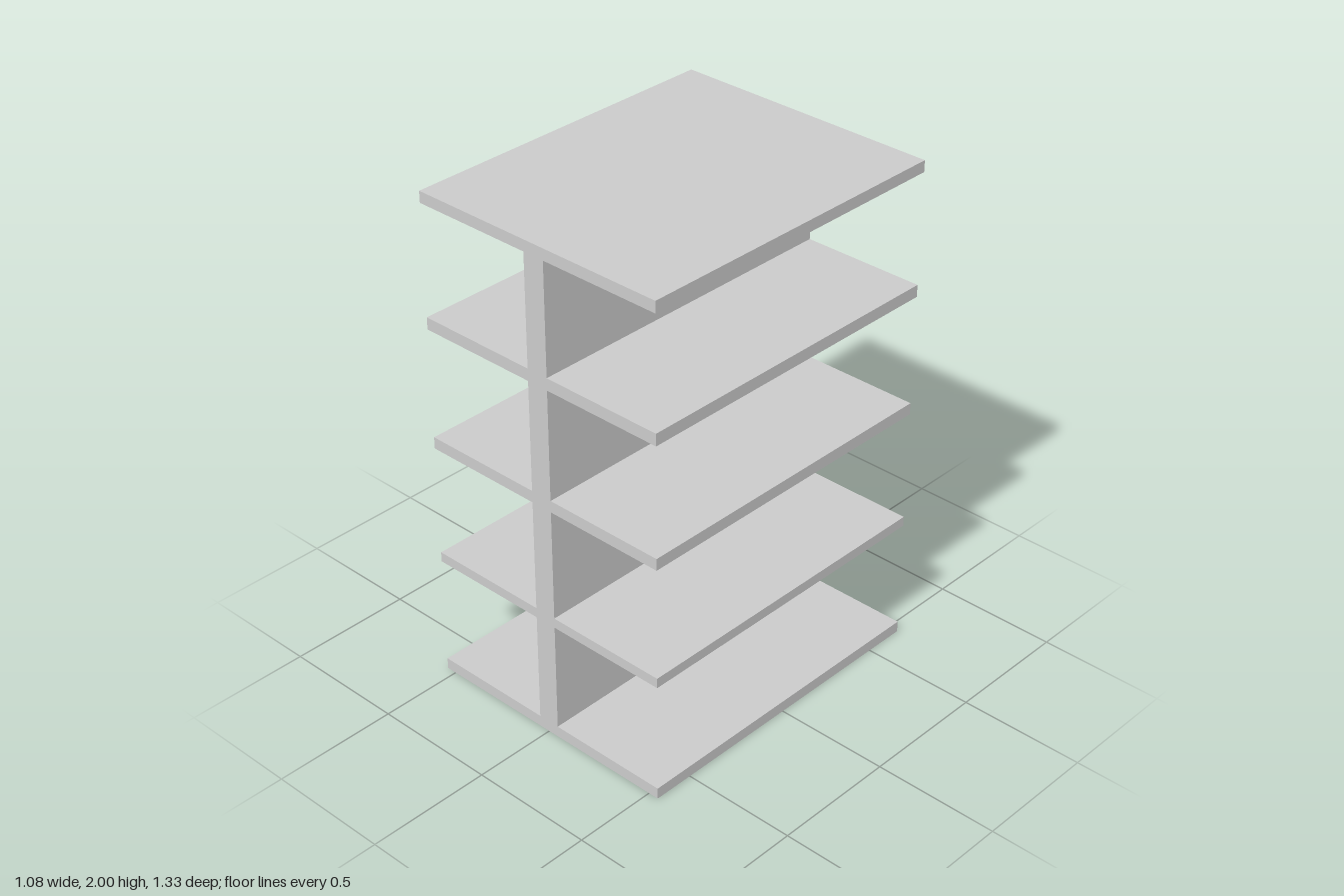
import * as THREE from 'three';

const HALF_WIDTH = 0.542;
const HALF_WALL = 0.045;
const DEPTH = 1.33;
// Bottom and top height of each shelf
const SHELVES = [[0, 0.045], [0.49, 0.53], [0.98, 1.027], [1.467, 1.515], [1.955, 2]];

export function createModel() {
  const group = new THREE.Group();
  group.name = 'shelfUnit';

  // Right-hand outline climbs from shelf to shelf along the central wall
  const right = SHELVES.flatMap(([bottom, top]) => [
    [HALF_WALL, bottom], [HALF_WIDTH, bottom], [HALF_WIDTH, top], [HALF_WALL, top],
  ]).slice(1, -1);
  // Mirrored outline descends on the other side
  const left = right.map(([x, y]) => [-x, y]).reverse();
  const profile = new THREE.Shape([...right, ...left].map(([x, y]) => new THREE.Vector2(x, y)));

  // Shelves and central wall are one continuous solid
  const geometry = new THREE.ExtrudeGeometry(profile, { depth: DEPTH, bevelEnabled: false });
  geometry.translate(0, 0, -DEPTH / 2);
  const body = new THREE.Mesh(geometry, new THREE.MeshStandardMaterial({ color: 0xcccccc }));
  body.name = 'shelvesAndCentralWall';
  group.add(body);

  return group;
}
